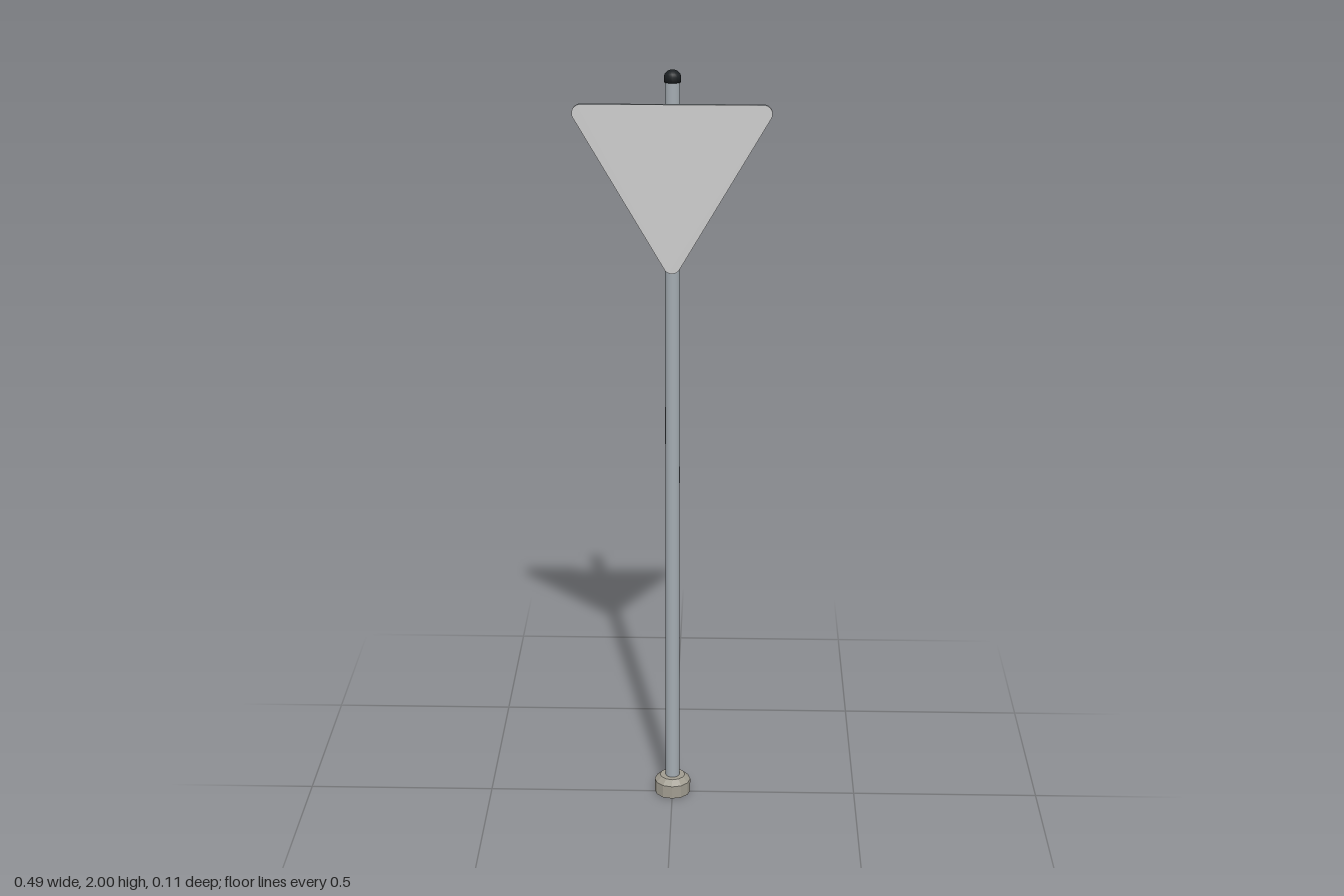
import * as THREE from 'three';
import { RoundedBoxGeometry } from 'three/addons/geometries/RoundedBoxGeometry.js';

const POLE_Z = -0.006;

export function createModel() {
  const model = new THREE.Group();
  const mat = (color, flatShading = false) => new THREE.MeshStandardMaterial({ color, flatShading });
  const steel = mat(0xa3abb1);
  const concrete = mat(0xa09c90, true);
  const black = mat(0x1c2023);

  const add = (name, geometry, material, x, y, z, parent = model) => {
    const mesh = new THREE.Mesh(geometry, material);
    mesh.name = name;
    mesh.position.set(x, y, z);
    parent.add(mesh);
    return mesh;
  };
  const lathe = (pts, sides) => new THREE.LatheGeometry(pts.map(p => new THREE.Vector2(...p)), sides);

  // Twelve-sided footing with a chamfered top
  add('base', lathe([[0, 0], [0.049, 0], [0.049, 0.036], [0.034, 0.05], [0, 0.05]], 12), concrete, 0, 0, POLE_Z);

  // Pole and its domed cap
  add('pole', new THREE.CylinderGeometry(0.019, 0.019, 1.93, 20), steel, 0, 1.01, POLE_Z);
  add('poleCap', lathe([[0, 0], [0.0215, 0], [0.0215, 0.014], [0.019, 0.021], [0.013, 0.027], [0.006, 0.0295], [0, 0.03]], 20),
    black, 0, 1.97, POLE_Z);

  // Downward-pointing triangular plate with rounded corners
  const r = 0.022, third = Math.PI * 2 / 3, start = -Math.PI * 5 / 6;
  const triangle = new THREE.Shape();
  [[0, 1.518], [0.225, 1.903], [-0.225, 1.903]].forEach(([x, y], i) =>
    triangle.absarc(x, y, r, start + i * third, start + (i + 1) * third, false));
  triangle.closePath();
  add('signPlate', new THREE.ExtrudeGeometry(triangle, { depth: 0.01, bevelEnabled: false, curveSegments: 8 }),
    steel, 0, 0, 0.0435);
  add('signFace', new THREE.ShapeGeometry(triangle, 8), mat(0xcccccc), 0, 0, 0.054);

  // Rails behind the plate, each held to the pole by a clamp
  [['upper', 1.83, 0.312], ['lower', 1.645, 0.148]].forEach(([label, y, length]) => {
    const bracket = new THREE.Group();
    bracket.name = label + 'Bracket';
    bracket.position.y = y;
    model.add(bracket);
    add('rail', new RoundedBoxGeometry(length, 0.022, 0.02, 2, 0.002), steel, 0, 0, 0.034, bracket);
    add('clampBand', new THREE.CylinderGeometry(0.024, 0.024, 0.03, 20), steel, 0, 0, POLE_Z, bracket);
    add('clampPad', new THREE.BoxGeometry(0.04, 0.03, 0.014), steel, 0, 0, 0.018, bracket);
  });

  return model;
}
